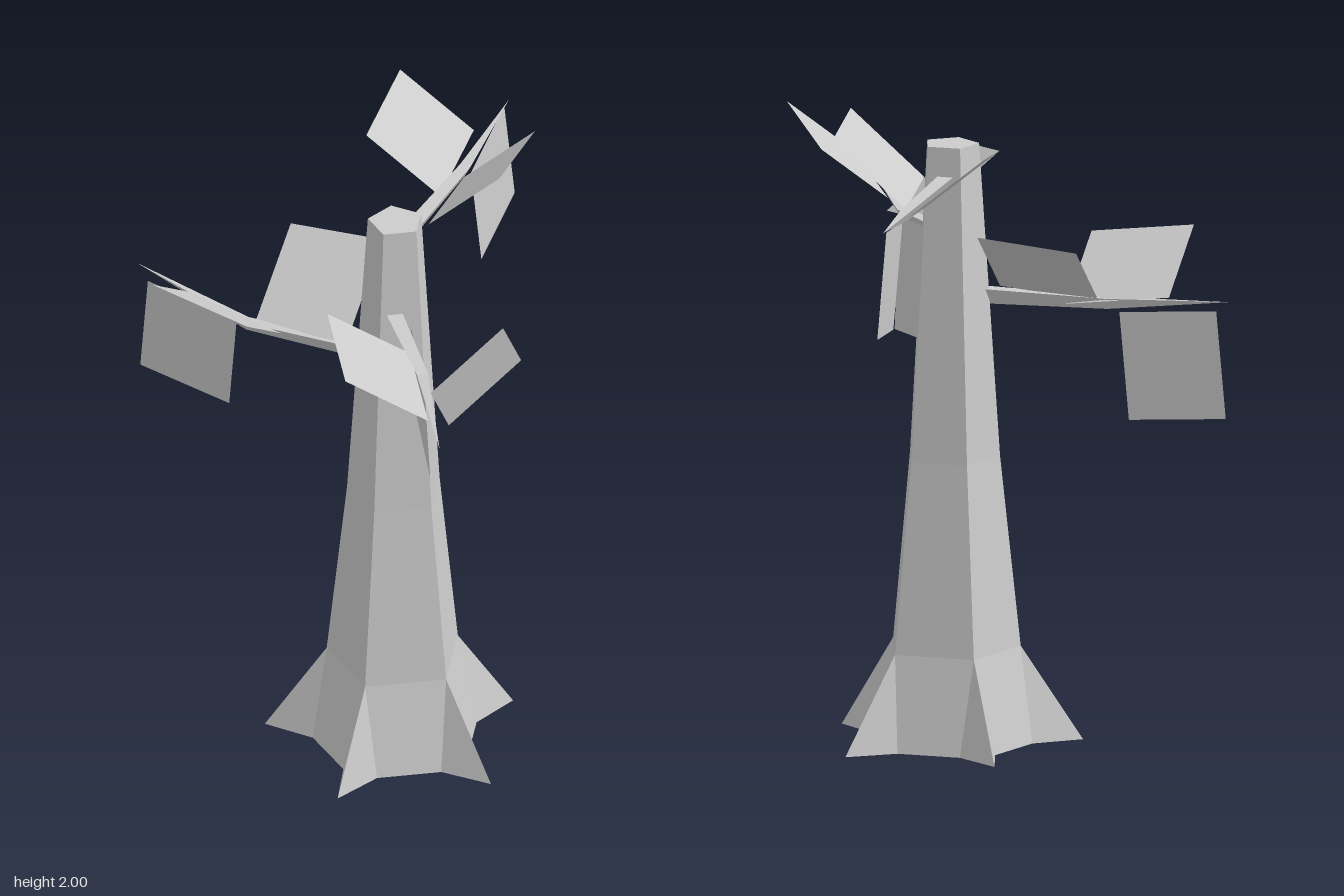
import * as THREE from 'three';

const V = (x, y, z) => new THREE.Vector3(x, y, z);
const grey = new THREE.MeshStandardMaterial({ color: 0xcccccc, flatShading: true });
const leafGrey = new THREE.MeshStandardMaterial({ color: 0xcccccc, flatShading: true, side: THREE.DoubleSide });

// Faceted solid through rings of equal point count, closed at both ends
function loft(rings) {
  const pos = [];
  const tri = (a, b, c) => {
    const area = b.clone().sub(a).cross(c.clone().sub(a)).length();
    if (area > 1e-8) for (const p of [a, b, c]) pos.push(p.x, p.y, p.z);
  };
  const n = rings[0].length;
  const mid = (ring) => ring.reduce((s, p) => s.add(p), V(0, 0, 0)).divideScalar(n);
  const first = rings[0], last = rings[rings.length - 1];
  const c0 = mid(first), c1 = mid(last);
  for (let i = 0; i < n; i++) {
    const j = (i + 1) % n;
    for (let r = 0; r < rings.length - 1; r++) {
      const a = rings[r], b = rings[r + 1];
      tri(a[i], b[i], a[j]);
      tri(a[j], b[i], b[j]);
    }
    tri(c0, first[i], first[j]);
    tri(c1, last[j], last[i]);
  }
  const g = new THREE.BufferGeometry();
  g.setAttribute('position', new THREE.Float32BufferAttribute(pos, 3));
  g.computeVertexNormals();
  return g;
}

// Five-sided ring; each corner is tripled so it can open into a pointed root
function trunkRing(y, radius, rootRadius = radius, spread = 0) {
  const ring = [];
  for (let i = 0; i < 5; i++) {
    for (const side of [-1, 0, 1]) {
      const a = THREE.MathUtils.degToRad(9 + 72 * i + side * spread);
      const r = side === 0 ? rootRadius : radius;
      ring.push(V(-0.11 + r * Math.cos(a), y, -0.015 + r * Math.sin(a)));
    }
  }
  return ring;
}

// Three-sided branch with a flat top, bent in the middle and ending in a point
function branchGeometry(points) {
  const dir = points[2].clone().sub(points[0]).setY(0).normalize();
  const side = dir.clone().cross(V(0, 1, 0));
  const scales = [1, 0.7, 0];
  return loft(points.map((p, i) => [[0.025, 0.02], [-0.025, 0.02], [0, -0.03]].map(([s, h]) =>
    p.clone().addScaledVector(side, s * scales[i]).add(V(0, h * scales[i], 0)))));
}

// Flat square leaf from three consecutive corners
function leafGeometry(a, b, c) {
  const d = a.clone().add(c).sub(b);
  const g = new THREE.PlaneGeometry(1, 1);
  [a, b, d, c].forEach((p, i) => g.attributes.position.setXYZ(i, p.x, p.y, p.z));
  g.computeVertexNormals();
  return g;
}

// Each branch: base, bend and tip, with two raised leaves and one hanging leaf
const branches = [
  {
    name: 'rightBranch',
    path: [V(-0.07, 1.76, -0.04), V(0.34, 1.757, -0.26), V(0.66, 1.78, -0.465)],
    leaves: [
      [V(0.165, 2.0, 0.145), V(0.44, 1.97, -0.04), V(0.305, 1.76, -0.222)],
      [V(0.318, 1.97, -0.565), V(0.05, 1.93, -0.38), V(0.197, 1.745, -0.2)],
      [V(0.36, 1.735, -0.26), V(0.63, 1.775, -0.45), V(0.67, 1.445, -0.45)],
    ],
  },
  {
    name: 'frontBranch',
    path: [V(-0.16, 1.565, 0.04), V(-0.29, 1.562, 0.36), V(-0.58, 1.66, 0.835)],
    leaves: [
      [V(-0.637, 1.72, 0.43), V(-0.49, 1.76, 0.142), V(-0.245, 1.57, 0.237)],
      [V(-0.256, 1.85, 0.818), V(-0.113, 1.765, 0.535), V(-0.343, 1.585, 0.473)],
      [V(-0.305, 1.545, 0.39), V(-0.155, 1.575, 0.12), V(-0.125, 1.23, 0.11)],
    ],
  },
  {
    name: 'backBranch',
    path: [V(-0.19, 1.395, -0.08), V(-0.38, 1.39, -0.42), V(-0.485, 1.437, -0.835)],
    leaves: [
      [V(-0.672, 1.6, -0.507), V(-0.54, 1.555, -0.2), V(-0.31, 1.38, -0.314)],
      [V(-0.126, 1.6, -0.53), V(0.018, 1.63, -0.25), V(-0.224, 1.42, -0.115)],
      [V(-0.37, 1.37, -0.48), V(-0.485, 1.4, -0.78), V(-0.48, 1.07, -0.825)],
    ],
  },
];

export function createModel() {
  const tree = new THREE.Group();
  tree.name = 'tree';
  const add = (parent, name, geometry, material) => {
    const mesh = new THREE.Mesh(geometry, material);
    mesh.name = name;
    parent.add(mesh);
  };

  // Tapered trunk flaring into five pointed roots
  add(tree, 'trunk', loft([
    trunkRing(0, 0.255, 0.405, 13),
    trunkRing(0.295, 0.214),
    trunkRing(0.89, 0.151),
    trunkRing(1.87, 0.087),
  ]), grey);

  // Branches with their leaves
  for (const { name, path, leaves } of branches) {
    const group = new THREE.Group();
    group.name = name;
    add(group, 'branch', branchGeometry(path), grey);
    leaves.forEach((corners, i) => add(group, `leaf${i + 1}`, leafGeometry(...corners), leafGrey));
    tree.add(group);
  }
  return tree;
}
